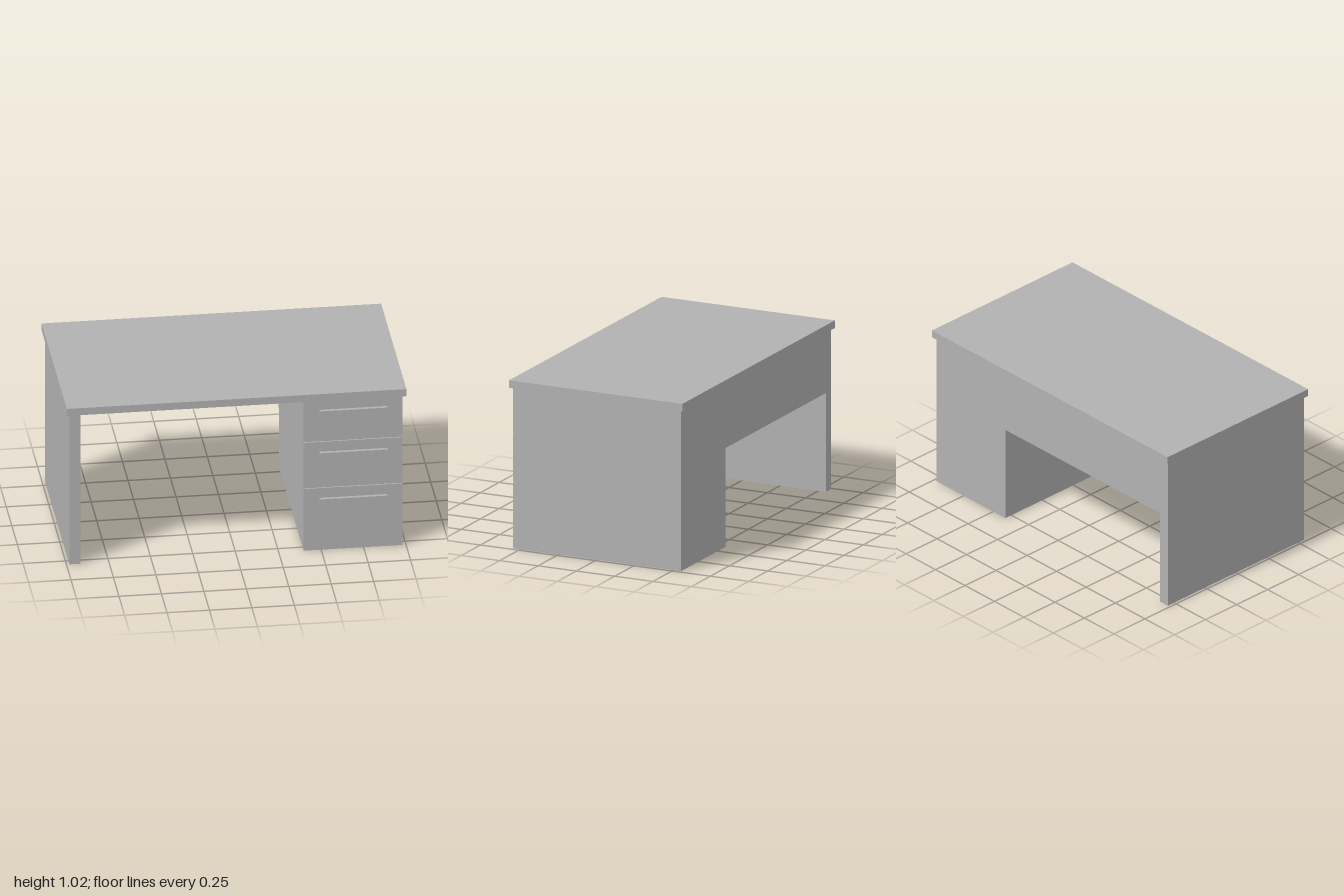
import * as THREE from 'three';

export function createModel() {
  const desk = new THREE.Group();
  desk.name = 'desk';

  const grey = new THREE.MeshStandardMaterial({ color: 0xb2b2b2 });
  grey.name = 'grey';

  // Box given by its lower and upper limits on each axis
  function box(name, [x0, x1], [y0, y1], [z0, z1], parent = desk) {
    const mesh = new THREE.Mesh(new THREE.BoxGeometry(x1 - x0, y1 - y0, z1 - z0), grey);
    mesh.position.set((x0 + x1) / 2, (y0 + y1) / 2, (z0 + z1) / 2);
    mesh.name = name;
    parent.add(mesh);
    return mesh;
  }

  const back = -0.549, front = 0.547, under = 0.977;

  // Overhanging top, side panel and panel closing the back of the knee space
  box('desktop', [-1, 1], [under, 1.023], [-0.568, 0.564]);
  box('sidePanel', [-0.983, -0.918], [0, under], [back, front]);
  box('modestyPanel', [-0.918, 0.397], [0.6, under], [back, back + 0.02]);

  // Drawer cabinet
  const face = front - 0.01;
  const cabinetX = [0.397, 0.98];
  box('cabinet', cabinetX, [0, under], [back, face]);

  // Drawer fronts with narrow gaps, each with a bar handle near its top
  const drawers = [[0, 0.402], [0.406, 0.703], [0.707, under]];
  const handleHeights = [0.332, 0.633, 0.906];
  drawers.forEach((span, i) => {
    const drawer = new THREE.Group();
    drawer.name = 'drawer' + (i + 1);
    box('drawerFront', cabinetX, span, [face, front], drawer);
    const y = handleHeights[i];
    box('handle', [0.49, 0.89], [y - 0.006, y + 0.006], [front, 0.568], drawer);
    desk.add(drawer);
  });

  return desk;
}
